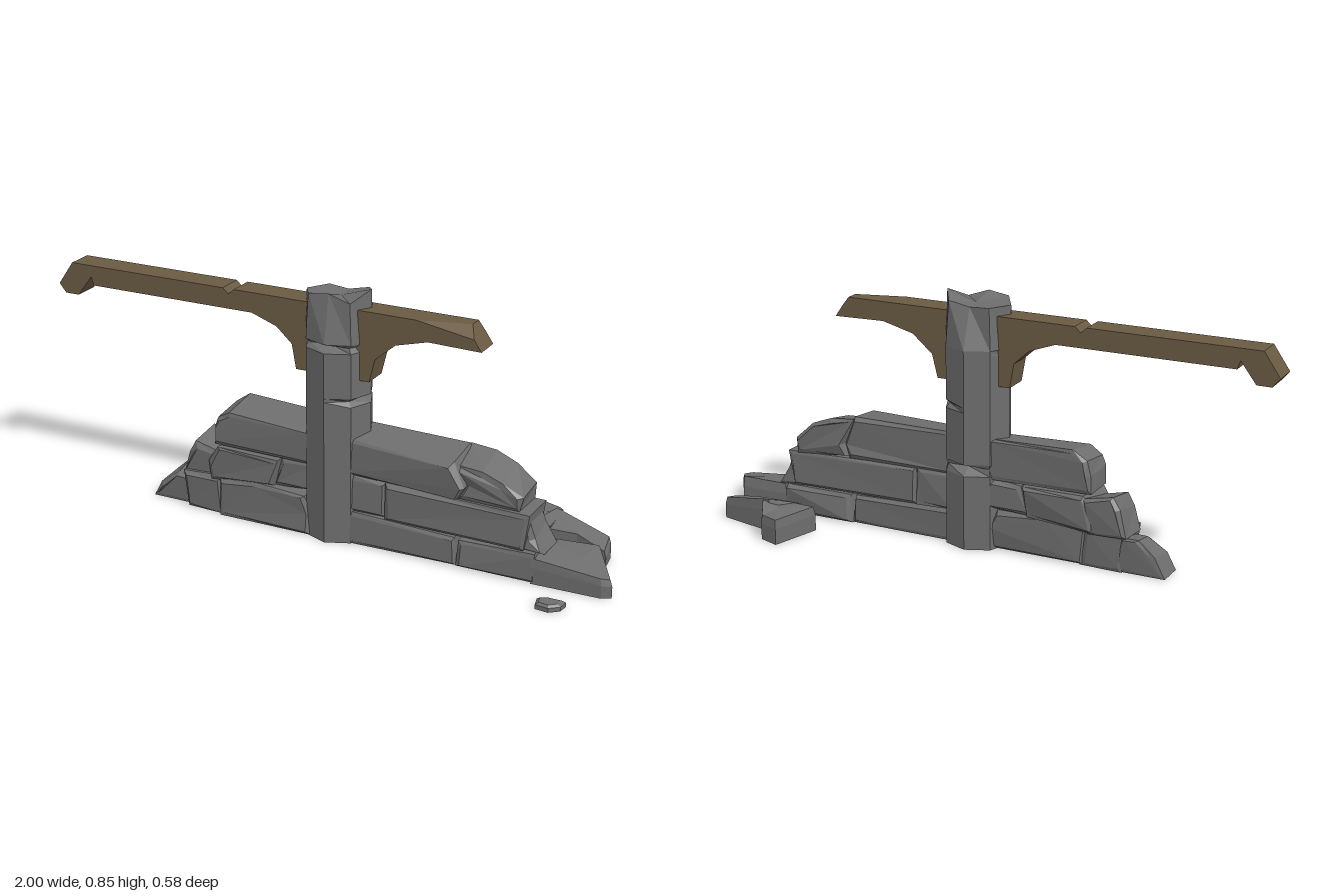
import * as THREE from 'three';

const stoneMat = new THREE.MeshStandardMaterial({ color: 0x6e6e6e, flatShading: true });
stoneMat.name = 'stone grey';
const woodMat = new THREE.MeshStandardMaterial({ color: 0x6a5a43, flatShading: true });
woodMat.name = 'wood brown';

function add(parent, geometry, material, name) {
  geometry.computeVertexNormals();
  const mesh = new THREE.Mesh(geometry, material);
  mesh.name = name;
  parent.add(mesh);
  return mesh;
}

// Skins equal-length loops of [x, y, z] from bottom to top and caps both ends
function loft(loops, topCentre) {
  const n = loops[0].length;
  const pos = [];
  const tri = (...pts) => pts.forEach((p) => pos.push(...p));
  const mid = (l) => [0, 1, 2].map((i) => l.reduce((s, p) => s + p[i], 0) / n);
  const top = loops[loops.length - 1];
  const cTop = topCentre || mid(top);
  const cBottom = mid(loops[0]);
  for (let k = 0; k < n; k++) {
    const j = (k + 1) % n;
    for (let i = 0; i < loops.length - 1; i++) {
      const lo = loops[i], up = loops[i + 1];
      tri(lo[k], up[k], up[j], lo[k], up[j], lo[j]);
    }
    tri(cTop, top[j], top[k], cBottom, loops[0][k], loops[0][j]);
  }
  const g = new THREE.BufferGeometry();
  g.setAttribute('position', new THREE.Float32BufferAttribute(pos, 3));
  return g;
}

// Repeatable offset in -1..1 for a point, so shared corners stay joined
function noise(x, y, z, seed) {
  const s = Math.sin(Math.round(x * 500) * 12.99 + Math.round(y * 500) * 78.23 + Math.round(z * 500) * 37.7 + seed * 5.1) * 43758.55;
  return 2 * (s - Math.floor(s)) - 1;
}

// Hewn wall stone: bevelled outline, roughened, optional slanted front and sloped top
function wallStone(outline, zBack, zFront, { slant = 0, drop = 0 } = {}) {
  const bevel = 0.012;
  const shape = new THREE.Shape(outline.map(([x, y]) => new THREE.Vector2(x, y)));
  const g = new THREE.ExtrudeGeometry(shape, {
    depth: zFront - zBack - 2 * bevel, bevelEnabled: true, bevelSegments: 1,
    bevelSize: bevel, bevelThickness: bevel, bevelOffset: -bevel,
  });
  g.translate(0, 0, zBack + bevel);
  const xs = outline.map((p) => p[0]), ys = outline.map((p) => p[1]);
  const x0 = Math.min(...xs), x1 = Math.max(...xs);
  const yMid = (Math.min(...ys) + Math.max(...ys)) / 2;
  const p = g.attributes.position;
  for (let i = 0; i < p.count; i++) {
    const x = p.getX(i), y = p.getY(i), z = p.getZ(i);
    const front = (z - zBack) / (zFront - zBack);
    const sink = y > yMid ? drop * front : 0;
    p.setXYZ(i,
      x + 0.005 * noise(x, y, z, 1),
      Math.max(0, y - sink + (y > 0.02 ? 0.004 * noise(x, y, z, 2) : 0)),
      z + slant * front * ((x - x0) / (x1 - x0)) + 0.008 * noise(x, y, z, 3));
  }
  return g;
}

// Ground rubble: plan outline of [x, z, height], narrowed a little at the top
function rubble(plan, taper = 0.94) {
  const cx = plan.reduce((s, p) => s + p[0], 0) / plan.length;
  const cz = plan.reduce((s, p) => s + p[1], 0) / plan.length;
  const ring = (f, t) => plan.map(([x, z, h]) => [cx + (x - cx) * t, h * f, cz + (z - cz) * t]);
  return loft([ring(0, 1), ring(0.65, 1), ring(1, taper)]);
}

function makeColumn() {
  // Eight corners counted from +x towards +z; each row is a height and its corner radii
  const full = [1, 1, 1, 1, 1, 1, 1, 1];
  const cut = (dents) => full.map((r, k) => dents[k] ?? r);
  const tapered = [1, 0.9, 0.68, 0.92, 1.03, 0.9, 0.59, 0.9];
  const tops = [0.85, 0.815, 0.84, 0.83, 0.82, 0.82, 0.815, 0.83];
  const rows = [
    [0, full], [0.255, full], [0.28, cut({ 6: 0.64, 5: 0.93, 7: 0.93 })], [0.295, full],
    [0.472, full], [0.488, cut({ 0: 0.74, 1: 0.84, 7: 0.88 })], [0.5, full],
    [0.652, full], [0.667, cut({ 0: 0.94, 1: 0.85, 2: 0.5, 3: 0.85, 4: 0.94 })],
    [0.68, cut({ 2: 0.96, 4: 1.02 })], [tops, tapered],
  ];
  const loops = rows.map(([y, radii]) => radii.map((r, k) => [
    0.033 + 0.113 * r * Math.cos((k * Math.PI) / 4),
    Array.isArray(y) ? y[k] : y,
    0.055 + 0.11 * r * Math.sin((k * Math.PI) / 4),
  ]));
  return loft(loops, [0.04, 0.815, 0.055]);
}

function makeBeam() {
  // Crossbeam outline with splintered ends, a nick on top and curved braces
  const outline = [
    [-0.945, 0.79], [-1, 0.71], [-0.975, 0.68], [-0.925, 0.68], [-0.872, 0.75], [-0.862, 0.722],
    [-0.26, 0.722], [-0.17, 0.69], [-0.115, 0.64], [-0.1, 0.557], [0.16, 0.557], [0.18, 0.635],
    [0.25, 0.695], [0.36, 0.724], [0.54, 0.72], [0.515, 0.757], [0.49, 0.79], [0.32, 0.79],
    [-0.325, 0.79], [-0.345, 0.772], [-0.365, 0.79],
  ];
  const shape = new THREE.Shape(outline.map(([x, y]) => new THREE.Vector2(x, y)));
  const g = new THREE.ExtrudeGeometry(shape, { depth: 0.09, bevelEnabled: false });
  g.translate(0, 0, 0.01);
  // Chip the front top corner of the short arm
  const p = g.attributes.position;
  for (let i = 0; i < p.count; i++) {
    if (Math.abs(p.getX(i) - 0.49) < 0.001 && p.getZ(i) > 0.09) p.setZ(i, 0.055);
  }
  return g;
}

export function createModel() {
  const model = new THREE.Group();
  model.name = 'ruinedWallWithPost';

  add(model, makeColumn(), stoneMat, 'stoneColumn');
  add(model, makeBeam(), woodMat, 'woodenCrossbeam');

  // Wall courses either side of the column: outline, back z, front z, options
  const stones = {
    leftTop: [
      [[[-0.4, 0.25], [-0.03, 0.245], [-0.03, 0.385], [-0.34, 0.39], [-0.385, 0.36], [-0.395, 0.31]], -0.02, 0.13, { drop: 0.02 }],
    ],
    leftMiddle: [
      [[[-0.53, 0.12], [-0.39, 0.115], [-0.375, 0.235], [-0.48, 0.26], [-0.5, 0.22]], -0.03, 0.11, { drop: 0.03 }],
      [[[-0.41, 0.12], [-0.18, 0.14], [-0.155, 0.238], [-0.38, 0.245], [-0.42, 0.18]], -0.025, 0.135],
      [[[-0.185, 0.14], [-0.03, 0.145], [-0.03, 0.245], [-0.15, 0.238]], -0.015, 0.12],
    ],
    leftBottom: [
      [[[-0.655, 0], [-0.48, 0], [-0.5, 0.12], [-0.56, 0.125], [-0.62, 0.075]], -0.01, 0.1, { drop: 0.02 }],
      [[[-0.51, 0], [-0.365, 0], [-0.38, 0.13], [-0.52, 0.13]], -0.015, 0.13],
      [[[-0.375, 0], [-0.03, 0], [-0.03, 0.08], [-0.06, 0.135], [-0.24, 0.145], [-0.38, 0.13]], -0.01, 0.14],
    ],
    rightTop: [
      [[[0.09, 0.235], [0.49, 0.235], [0.515, 0.28], [0.475, 0.38], [0.09, 0.38]], -0.01, 0.125, { slant: 0.04, drop: 0.02 }],
      [[[0.49, 0.235], [0.69, 0.225], [0.695, 0.275], [0.63, 0.335], [0.56, 0.365], [0.47, 0.375], [0.51, 0.28]], -0.015, 0.13, { drop: 0.03 }],
    ],
    rightMiddle: [
      [[[0.09, 0.11], [0.235, 0.11], [0.23, 0.235], [0.09, 0.235]], -0.01, 0.125],
      [[[0.235, 0.105], [0.71, 0.105], [0.725, 0.225], [0.235, 0.235]], -0.012, 0.14],
      [[[0.65, 0.1], [0.775, 0.095], [0.735, 0.16], [0.72, 0.215], [0.65, 0.215]], 0, 0.12, { drop: 0.02 }],
    ],
    rightBottom: [
      [[[0.09, 0], [0.485, 0], [0.48, 0.1], [0.09, 0.112]], -0.01, 0.14],
      [[[0.485, 0], [0.755, 0], [0.745, 0.1], [0.49, 0.095]], -0.012, 0.135],
    ],
  };
  for (const [course, list] of Object.entries(stones)) {
    const group = new THREE.Group();
    group.name = course + 'Course';
    list.forEach(([outline, back, front, options], i) =>
      add(group, wallStone(outline, back, front, options), stoneMat, `${course}Stone${i + 1}`));
    model.add(group);
  }

  // Fallen pieces around the right end: plan points as [x, z, height]
  const fallen = {
    endStone: [[0.74, -0.01, 0.1], [0.91, -0.02, 0.105], [1, 0.115, 0.06], [0.97, 0.13, 0.065], [0.74, 0.135, 0.085]],
    backRubbleTall: [[0.56, -0.12, 0.085], [0.61, -0.295, 0.085], [0.68, -0.27, 0.085], [0.72, -0.2, 0.11], [0.71, -0.11, 0.085]],
    backRubbleLong: [[0.69, -0.2, 0.115], [0.9, -0.15, 0.075], [0.91, -0.075, 0.055], [0.8, -0.108, 0.08], [0.62, -0.1, 0.08]],
  };
  for (const [name, plan] of Object.entries(fallen)) add(model, rubble(plan), stoneMat, name);
  add(model, rubble([
    [0.805, 0.245, 0.022], [0.83, 0.23, 0.022], [0.895, 0.23, 0.022],
    [0.89, 0.265, 0.022], [0.86, 0.29, 0.022], [0.815, 0.285, 0.022],
  ], 0.75), stoneMat, 'pebble');

  return model;
}
